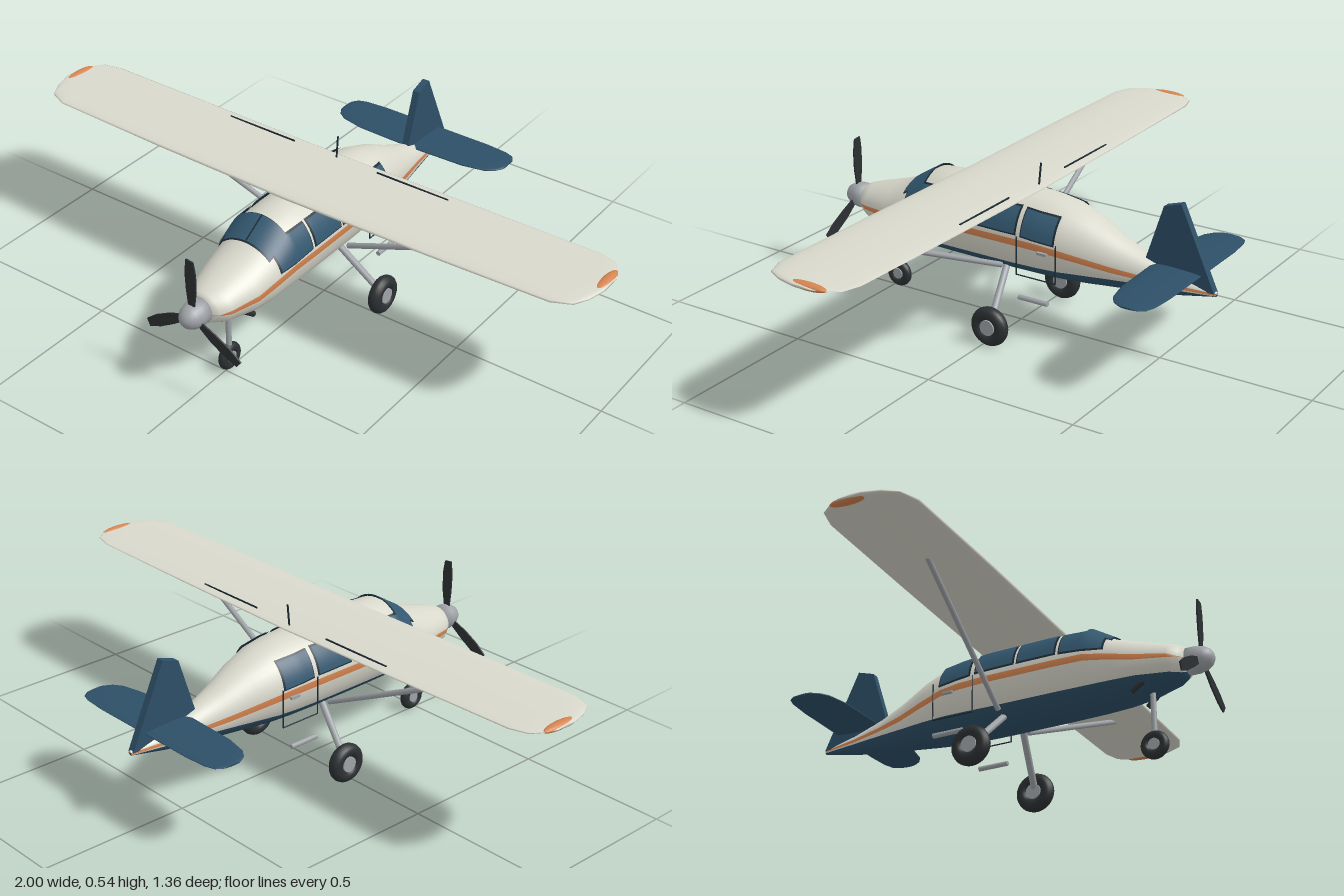
import * as THREE from 'three';

const mat = (name, color, side = THREE.FrontSide) => {
  const m = new THREE.MeshStandardMaterial({ color, side });
  m.name = name;
  return m;
};
const V = (x, y, z) => new THREE.Vector3(x, y, z);

// fuselage sections: z, bottom, top, half width, top of blue belly, stripe height, stripe half thickness
const SECTIONS = [
  [0.6, 0.25, 0.33, 0.04, 0.252, 0.285, 0.001],
  [0.585, 0.24, 0.34, 0.06, 0.246, 0.285, 0.001],
  [0.555, 0.228, 0.35, 0.08, 0.244, 0.287, 0.006],
  [0.46, 0.205, 0.377, 0.107, 0.24, 0.292, 0.009],
  [0.386, 0.196, 0.403, 0.117, 0.238, 0.306, 0.01],
  [0.306, 0.19, 0.453, 0.124, 0.238, 0.319, 0.011],
  [0.2, 0.188, 0.459, 0.126, 0.238, 0.32, 0.011],
  [-0.02, 0.187, 0.456, 0.126, 0.238, 0.32, 0.011],
  [-0.12, 0.188, 0.449, 0.123, 0.24, 0.318, 0.011],
  [-0.19, 0.19, 0.438, 0.116, 0.242, 0.312, 0.011],
  [-0.27, 0.195, 0.41, 0.096, 0.245, 0.298, 0.01],
  [-0.36, 0.203, 0.362, 0.071, 0.247, 0.281, 0.009],
  [-0.45, 0.212, 0.323, 0.05, 0.249, 0.27, 0.007],
  [-0.56, 0.225, 0.288, 0.03, 0.249, 0.26, 0.005],
  [-0.68, 0.248, 0.262, 0.009, 0.251, 0.256, 0.003],
];

function sectionAt(z) {
  let i = 0;
  while (i < SECTIONS.length - 2 && SECTIONS[i + 1][0] > z) i++;
  const a = SECTIONS[i], b = SECTIONS[i + 1], k = (z - a[0]) / (b[0] - a[0]);
  return a.map((v, n) => v + (b[n] - v) * k);
}
const angleOf = (s, y) =>
  Math.asin(THREE.MathUtils.clamp((2 * y - s[1] - s[2]) / (s[2] - s[1]), -1, 1));
const onSection = (s, a, off = 0) =>
  V((s[3] + off) * Math.cos(a), (s[1] + s[2]) / 2 + ((s[2] - s[1]) / 2 + off) * Math.sin(a), s[0]);

// skin over rings of points; groupOf gives a material index for each column
function loft(rings, closed = true, groupOf = null) {
  const n = rings[0].length, idx = [], g = new THREE.BufferGeometry();
  for (let j = 0; j < (closed ? n : n - 1); j++) {
    const start = idx.length, k = (j + 1) % n;
    for (let i = 0; i < rings.length - 1; i++) {
      const a = i * n, b = a + n;
      idx.push(a + j, b + j, b + k, a + j, b + k, a + k);
    }
    if (groupOf) g.addGroup(start, idx.length - start, groupOf(j));
  }
  g.setFromPoints(rings.flat());
  g.setIndex(idx);
  g.computeVertexNormals();
  return g;
}
function closeEnds(rings) {
  const cap = (r) => {
    const c = r.reduce((s, p) => s.add(p), V(0, 0, 0)).divideScalar(r.length);
    return r.map(() => c.clone());
  };
  return [cap(rings[0]), ...rings, cap(rings[rings.length - 1])];
}

// aerofoil surface from stations: x, front z, back z, y, thickness; mirrored to both sides
function aerofoil(half) {
  const stations = [...half.slice(1).reverse().map(([x, ...r]) => [-x, ...r]), ...half];
  return loft(closeEnds(stations.map(([x, f, b, y, t]) =>
    Array.from({ length: 24 }, (_, i) => {
      const a = (i / 24) * Math.PI * 2;
      return V(x, y + (t / 2) * Math.sin(a) * (0.9 + 0.3 * Math.cos(a)), (f + b) / 2 + ((f - b) / 2) * Math.cos(a));
    }))));
}

export function createModel() {
  const cream = mat('cream paint', 0xd9d8cc);
  const blue = mat('blue paint', 0x2d4f67);
  const orange = mat('orange trim', 0xd5844f);
  const glass = mat('tinted glass', 0x335870, THREE.DoubleSide);
  const dark = mat('dark trim', 0x1d2a33, THREE.DoubleSide);
  const rubber = mat('black rubber', 0x2c3032);
  const metal = mat('grey metal', 0x9fa3a7);

  const model = new THREE.Group();
  const add = (name, geo, material, pos, parent = model) => {
    const m = new THREE.Mesh(geo, material);
    m.name = name;
    if (pos) m.position.set(...pos);
    parent.add(m);
    return m;
  };
  const rod = (name, a, b, r, material, parent) => {
    const p = V(...a), d = V(...b).sub(p);
    const m = add(name, new THREE.CylinderGeometry(r, r, d.length(), 10), material, null, parent);
    m.position.copy(p).addScaledVector(d, 0.5);
    m.quaternion.setFromUnitVectors(V(0, 1, 0), d.normalize());
    return m;
  };

  // fuselage with belly, stripe and roof bands
  const bands = [[5, 1], [2, 0], [1, 2], [9, 0]];
  const cols = bands.flatMap(([n, m]) => Array(n).fill(m));
  const rings = SECTIONS.map((s) => {
    const limits = [s[1], s[4], s[5] - s[6], s[5] + s[6], s[2]].map((y) => angleOf(s, y));
    const side = bands.flatMap(([n], b) =>
      Array.from({ length: n }, (_, i) => limits[b] + ((limits[b + 1] - limits[b]) * i) / n));
    side.push(Math.PI / 2);
    const other = side.slice(1, -1).reverse().map((a) => Math.PI - a);
    return [...side, ...other].map((a) => onSection(s, a));
  });
  const all = [...cols, ...[...cols].reverse()];
  add('fuselage', loft(closeEnds(rings), true, (j) => all[j]), [cream, blue, orange]);

  // side windows with dark frames: [front z, back z, front bottom, front top, back bottom, back top]
  const pane = (w, side, off, grow) => loft(Array.from({ length: 9 }, (_, i) => {
    const k = i / 8, s = sectionAt(w[0] + grow + (w[1] - w[0] - 2 * grow) * k);
    const lo = angleOf(s, w[2] + (w[4] - w[2]) * k - grow);
    const hi = angleOf(s, w[3] + (w[5] - w[3]) * k + grow);
    return Array.from({ length: 7 }, (_, j) => {
      const p = onSection(s, lo + ((hi - lo) * j) / 6, off);
      p.x *= side;
      return p;
    });
  }), false);
  const windows = [
    [0.368, 0.315, 0.336, 0.385, 0.342, 0.418],
    [0.315, 0.232, 0.342, 0.418, 0.349, 0.42],
    [0.214, 0.09, 0.35, 0.421, 0.35, 0.421],
    [0.073, -0.056, 0.35, 0.421, 0.348, 0.42],
    [-0.08, -0.187, 0.346, 0.418, 0.336, 0.408],
  ];
  for (const side of [1, -1]) for (const w of windows) {
    add('windowFrame', pane(w, side, 0.004, 0.005), dark);
    add('sideWindow', pane(w, side, 0.007, 0), glass);
  }

  // windscreen wrapped over the nose slope, with centre post
  const wrap = (z0, z1, a0, a1, off) => loft(Array.from({ length: 6 }, (_, i) =>
    Array.from({ length: 17 }, (_, j) =>
      onSection(sectionAt(z0 + ((z1 - z0) * i) / 5), a0 + ((a1 - a0) * j) / 16, off))), false);
  add('windscreenFrame', wrap(0.39, 0.304, 0.74, Math.PI - 0.74, 0.004), dark);
  add('windscreen', wrap(0.386, 0.308, 0.78, Math.PI - 0.78, 0.007), glass);
  add('windscreenPost', wrap(0.386, 0.308, 1.55, 1.59, 0.009), dark);

  // wing, tip lights and aileron gaps
  add('wing', aerofoil([
    [0, 0.21, -0.09, 0.464, 0.034], [0.5, 0.208, -0.089, 0.469, 0.03], [0.9, 0.2, -0.086, 0.474, 0.025],
    [0.96, 0.175, -0.07, 0.476, 0.02], [0.985, 0.13, -0.035, 0.477, 0.016], [1, 0.075, 0, 0.478, 0.01],
  ]), cream);
  add('tailplane', aerofoil([
    [0, -0.468, -0.634, 0.305, 0.016], [0.2, -0.474, -0.634, 0.305, 0.015], [0.275, -0.49, -0.628, 0.305, 0.013],
    [0.305, -0.51, -0.618, 0.305, 0.011], [0.32, -0.535, -0.597, 0.305, 0.007],
  ]), blue);
  for (const s of [1, -1]) {
    add('wingTipTrim', new THREE.SphereGeometry(1, 20, 12), orange, [s * 0.982, 0.477, 0.03]).scale.set(0.017, 0.011, 0.066);
    add('aileronGap', new THREE.BoxGeometry(0.255, 0.004, 0.004), dark, [s * 0.283, 0.475, -0.058]);
  }

  // tail fin
  const finShape = new THREE.Shape([
    [0.445, 0.312], [0.503, 0.497], [0.56, 0.515], [0.678, 0.258], [0.56, 0.26],
  ].map((p) => new THREE.Vector2(...p)));
  const fin = new THREE.ExtrudeGeometry(finShape, { depth: 0.024, bevelEnabled: false });
  fin.translate(0, 0, -0.012).rotateY(Math.PI / 2);
  add('tailFin', fin, blue);

  // spinner and three propeller blades
  const nose = [[0, 0], [0.042, 0], [0.042, 0.035], [0.037, 0.058], [0.026, 0.075], [0.013, 0.084], [0, 0.086]];
  add('spinner', new THREE.LatheGeometry(nose.map((p) => new THREE.Vector2(...p)), 28).rotateX(Math.PI / 2),
    metal, [0, 0.29, 0.594]);
  const blade = new THREE.Shape([
    [-0.009, 0.02], [0.009, 0.02], [0.02, 0.09], [0.021, 0.15], [0.014, 0.193], [-0.012, 0.196], [-0.018, 0.15], [-0.016, 0.09],
  ].map((p) => new THREE.Vector2(...p)));
  for (let i = 0; i < 3; i++) {
    const g = new THREE.ExtrudeGeometry(blade, { depth: 0.005, bevelEnabled: false });
    add('propellerBlade', g, rubber, [0, 0.29, 0.636]).rotation.z = (i * Math.PI * 2) / 3;
  }

  // wheels
  const wheel = (name, x, y, z, R, r) => {
    const g = new THREE.Group();
    g.name = name;
    g.position.set(x, y, z);
    g.rotation.y = Math.PI / 2;
    model.add(g);
    add('tyre', new THREE.TorusGeometry(R, r, 14, 32), rubber, null, g);
    add('hub', new THREE.CylinderGeometry(R * 0.6, R * 0.6, r * 1.7, 20).rotateX(Math.PI / 2), metal, null, g);
  };
  wheel('noseWheel', 0, 0.045, 0.48, 0.03, 0.015);
  rod('noseLeg', [0, 0.23, 0.48], [0, 0.045, 0.48], 0.009, metal);

  // struts, main gear, steps, exhausts and door outlines on both sides
  for (const s of [1, -1]) {
    wheel('mainWheel', s * 0.21, 0.064, -0.022, 0.042, 0.022);
    rod('mainLeg', [s * 0.06, 0.215, 0.012], [s * 0.207, 0.068, -0.022], 0.011, metal);
    rod('wingStrut', [s * 0.64, 0.466, 0.07], [s * 0.1, 0.222, 0.01], 0.009, metal);
    rod('step', [s * 0.146, 0.155, -0.087], [s * 0.146, 0.155, -0.19], 0.008, metal);
    rod('exhaust', [s * 0.055, 0.232, 0.475], [s * 0.062, 0.202, 0.437], 0.009, rubber);
    const x = s * 0.128, [f, b, lo, hi] = [-0.065, -0.205, 0.218, 0.342];
    const corners = [[x, lo, f], [x, hi, f], [x, hi, b], [x, lo, b]];
    for (const [i, j] of [[0, 1], [2, 3], [3, 0]]) rod('doorOutline', corners[i], corners[j], 0.002, dark);
    add('doorHandle', new THREE.BoxGeometry(0.01, 0.008, 0.034), metal, [s * 0.126, 0.304, -0.155]);
  }

  // roof antenna
  rod('antenna', [0, 0.445, -0.062], [0, 0.54, -0.071], 0.003, dark);
  return model;
}
